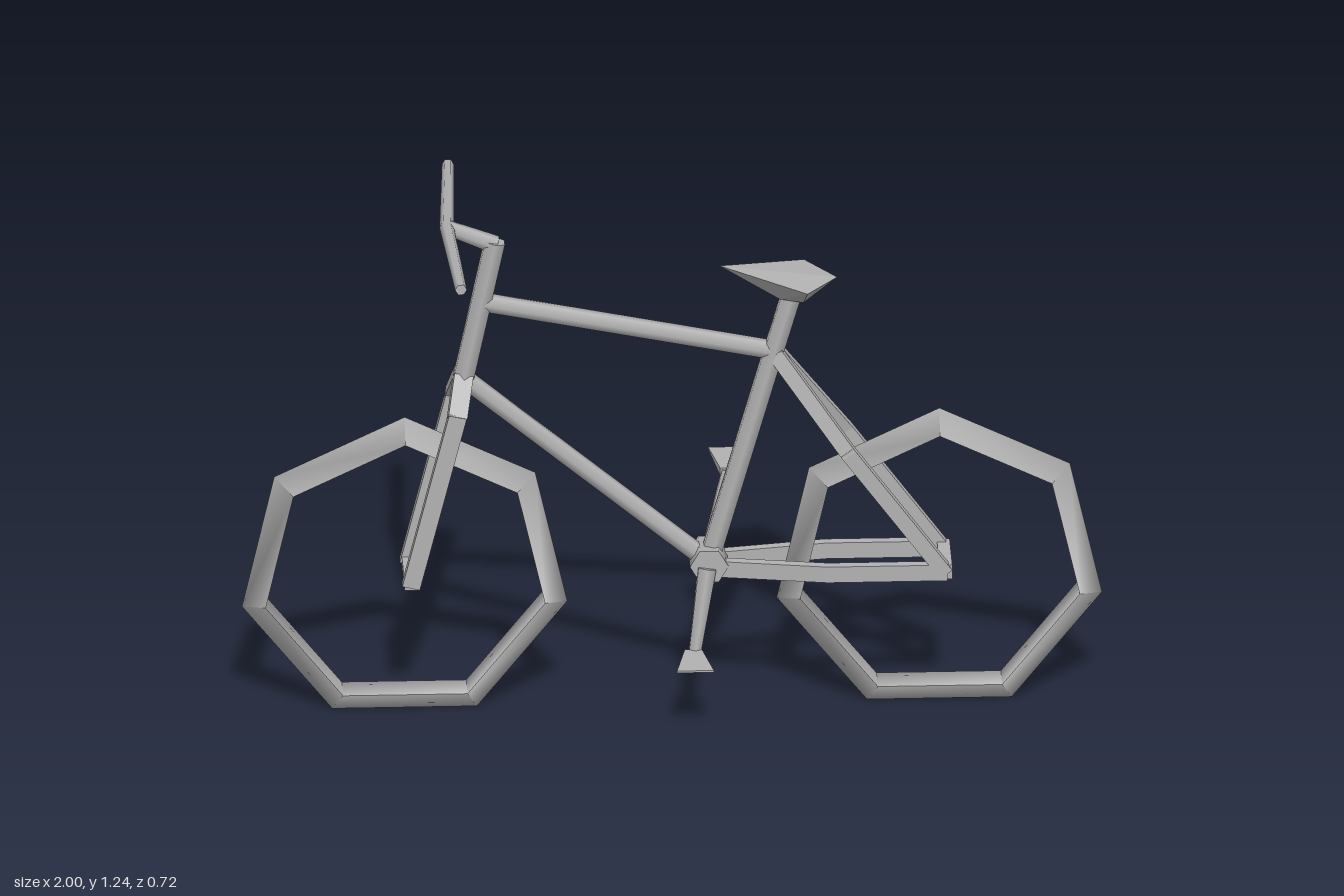
import * as THREE from 'three';
import { toCreasedNormals } from 'three/addons/utils/BufferGeometryUtils.js';
import { ConvexGeometry } from 'three/addons/geometries/ConvexGeometry.js';

const grey = new THREE.MeshStandardMaterial({ color: 0xb2b2b2 });
grey.name = 'grey metal';

const V = (x, y, z = 0) => new THREE.Vector3(x, y, z);

function add(parent, name, geometry) {
  const mesh = new THREE.Mesh(geometry, grey);
  mesh.name = name;
  parent.add(mesh);
  return mesh;
}

// Put a geometry that runs along y between a and b, its z axis kept sideways.
function span(geometry, a, b) {
  const y = b.clone().sub(a).normalize();
  const side = Math.abs(y.z) > 0.9 ? V(1, 0) : V(0, 0, 1);
  const x = y.clone().cross(side).normalize();
  const z = x.clone().cross(y);
  const m = new THREE.Matrix4().makeBasis(x, y, z);
  m.setPosition(a.clone().add(b).multiplyScalar(0.5));
  return geometry.applyMatrix4(m);
}

// Six-sided smooth tube
function tube(parent, name, a, b, r, r2 = r) {
  return add(parent, name, span(new THREE.CylinderGeometry(r2, r, a.distanceTo(b), 6), a, b));
}

// Flat bar, lengthened a little so that bends close
function bar(parent, name, a, b, w = 0.04, d = 0.024) {
  return add(parent, name, span(new THREE.BoxGeometry(w, a.distanceTo(b) + 0.012, d), a, b));
}

// Seven-sided wheel rim with a triangular section
function wheel(parent, name, x) {
  const inner = 0.334, outer = 0.389, w = 0.04;
  const profile = [[inner, -w], [outer, 0], [inner, w], [inner, -w]]
    .map(([r, h]) => new THREE.Vector2(r, h));
  const rim = new THREE.LatheGeometry(profile, 7, Math.PI);
  rim.rotateX(Math.PI / 2);
  add(parent, name, toCreasedNormals(rim, 2)).position.set(x, 0.351, 0);
}

// Thin wedge pedal that widens outwards
function pedal(parent, name, x, y, s) {
  const pts = [];
  for (const e of [-1, 1]) {
    pts.push(V(x + e * 0.02, y - 0.012, s * 0.085), V(x + e * 0.02, y + 0.008, s * 0.085));
    pts.push(V(x + e * 0.043, y + 0.003, s * 0.207), V(x + e * 0.043, y + 0.008, s * 0.207));
  }
  add(parent, name, new ConvexGeometry(pts));
}

export function createModel() {
  const bike = new THREE.Group();
  bike.name = 'bicycle';

  wheel(bike, 'frontWheel', -0.623);
  wheel(bike, 'rearWheel', 0.623);

  // Frame
  const frame = new THREE.Group();
  frame.name = 'frame';
  bike.add(frame);
  const bottom = V(0.085, 0.36), seatJoint = V(0.237, 0.895);
  const crown = V(-0.488, 0.83), stemTop = V(-0.413, 1.185);
  tube(frame, 'headTube', crown, stemTop, 0.027);
  tube(frame, 'topTube', V(-0.44, 1.03), seatJoint, 0.023);
  tube(frame, 'downTube', V(-0.488, 0.84), bottom, 0.023);
  tube(frame, 'seatTube', bottom, seatJoint, 0.026);
  tube(frame, 'seatPost', seatJoint, V(0.285, 1.06), 0.026);
  tube(frame, 'bottomBracket', V(0.085, 0.365, -0.045), V(0.085, 0.365, 0.045), 0.045);

  // Fork and stays, one on each side
  for (const s of [-1, 1]) {
    const side = s > 0 ? 'left' : 'right';
    const shoulder = V(-0.503, 0.77, s * 0.069), tip = V(-0.61, 0.345, s * 0.069);
    bar(frame, side + 'ForkCrown', V(-0.488, 0.84, s * 0.012), shoulder, 0.045, 0.028);
    bar(frame, side + 'ForkLeg', shoulder, tip, 0.042, 0.026);

    const drop = V(0.632, 0.355, s * 0.069);
    const bend = V(0.408, 0.66, s * 0.069);
    bar(frame, side + 'SeatStayTop', V(0.245, 0.885, s * 0.012), bend, 0.036);
    bar(frame, side + 'SeatStay', bend, drop, 0.036);

    const chainBend = V(0.36, 0.355, s * 0.069);
    bar(frame, side + 'ChainStayFront', V(0.1, 0.355, s * 0.025), chainBend);
    bar(frame, side + 'ChainStay', chainBend, drop);
  }
  bar(frame, 'frontAxle', V(-0.61, 0.345, -0.07), V(-0.61, 0.345, 0.07), 0.026, 0.034);
  bar(frame, 'rearAxle', V(0.635, 0.355, -0.07), V(0.635, 0.355, 0.07), 0.036, 0.03);

  // Stem and handlebar
  const barMid = V(-0.525, 1.222);
  tube(bike, 'stem', V(-0.41, 1.175), barMid, 0.022, 0.018);
  for (const s of [-1, 1])
    tube(bike, s > 0 ? 'leftHandlebar' : 'rightHandlebar', barMid, V(-0.507, 1.222, s * 0.36), 0.017, 0.014);

  // Saddle: a kite on top, narrowing to the post
  const saddle = [V(0.11, 1.112), V(0.385, 1.078)];
  for (const s of [-1, 1])
    saddle.push(V(0.312, 1.08, s * 0.1), V(0.25, 1.035, s * 0.025), V(0.305, 1.025, s * 0.025));
  add(bike, 'saddle', new ConvexGeometry(saddle));

  // Cranks and pedals
  tube(bike, 'leftCrank', V(0.08, 0.36, 0.04), V(0.05, 0.165, 0.08), 0.024, 0.016);
  tube(bike, 'rightCrank', V(0.09, 0.36, -0.04), V(0.134, 0.55, -0.09), 0.024, 0.016);
  pedal(bike, 'leftPedal', 0.046, 0.165, 1);
  pedal(bike, 'rightPedal', 0.136, 0.55, -1);

  return bike;
}
